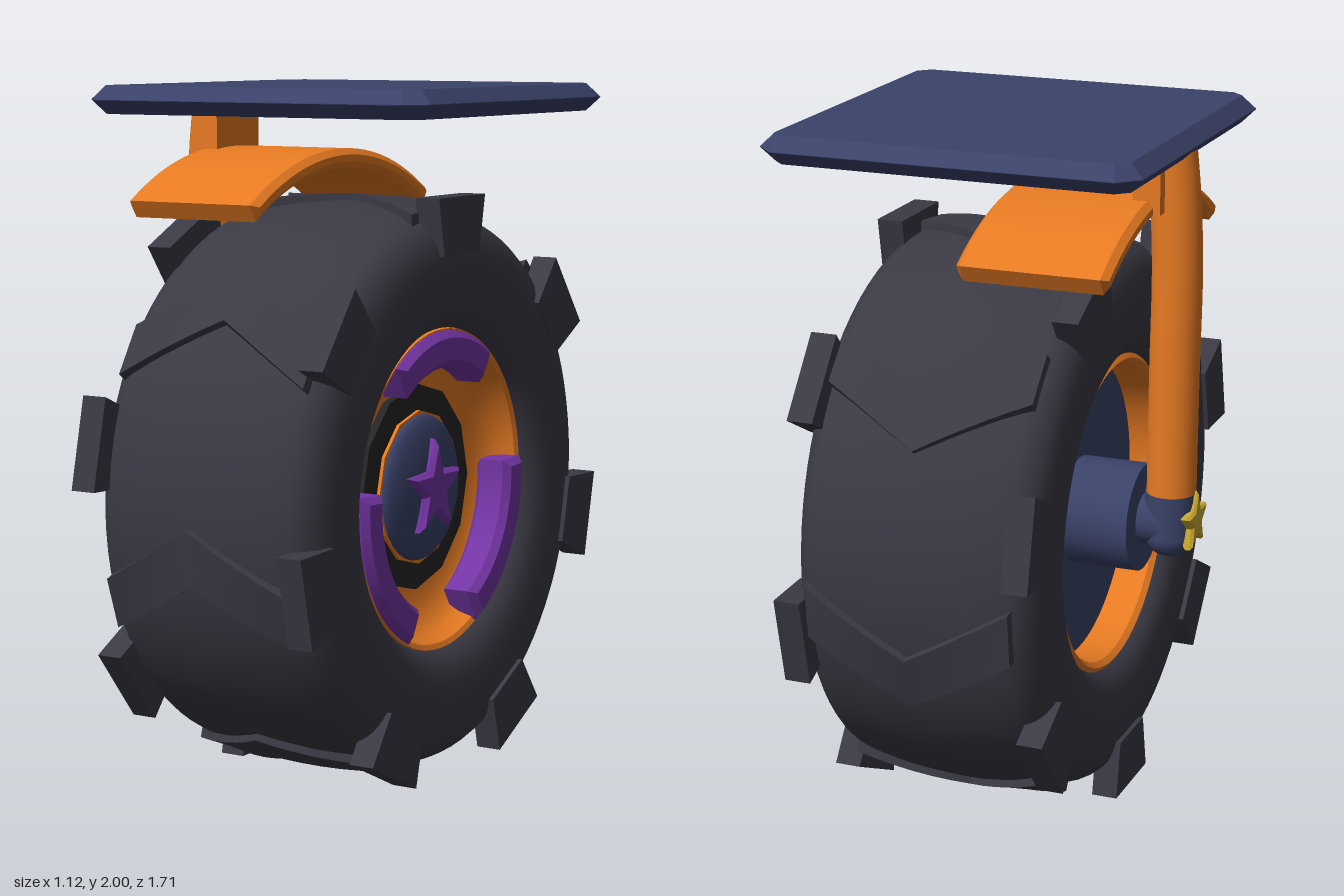
import * as THREE from 'three';
import { toCreasedNormals } from 'three/addons/utils/BufferGeometryUtils.js';

const mat = (name, color, side = THREE.FrontSide) => {
  const m = new THREE.MeshStandardMaterial({ color, side });
  m.name = name;
  return m;
};

export function createModel() {
  const navy = mat('navy', 0x3a4269);
  const rubber = mat('rubber', 0x3a3944);
  const orange = mat('orange', 0xe67a22);
  const purple = mat('purple', 0x7435a4);
  const black = mat('black', 0x252525);
  const yellow = mat('yellow', 0xc9aa30);

  const model = new THREE.Group();
  model.name = 'wheelAssembly';
  // Side-on frame: local z runs along the axle (+x), local x points to the back.
  const CY = 0.845;
  const wheel = new THREE.Group();
  wheel.name = 'wheel';
  wheel.position.y = CY;
  wheel.rotation.y = Math.PI / 2;
  model.add(wheel);

  const add = (parent, name, geo, material, x = 0, y = 0, z = 0) => {
    const mesh = new THREE.Mesh(geo, material);
    mesh.name = name;
    mesh.position.set(x, y, z);
    parent.add(mesh);
    return mesh;
  };
  const lathe = (pts, seg = 72) =>
    toCreasedNormals(new THREE.LatheGeometry(pts.map(p => new THREE.Vector2(p[0], p[1])), seg).rotateX(Math.PI / 2), 0.7);
  const disc = (r, z0, z1, seg) =>
    toCreasedNormals(new THREE.CylinderGeometry(r, r, z1 - z0, seg).rotateX(Math.PI / 2).translate(0, 0, (z0 + z1) / 2), 0.5);
  // Bevelled slab from z0 to z1, bevel included
  const slab = (shape, z0, z1, bevel, curveSegments = 20) => {
    const g = new THREE.ExtrudeGeometry(shape, {
      depth: z1 - z0 - 2 * bevel, bevelEnabled: bevel > 0, bevelSize: bevel,
      bevelThickness: bevel, bevelSegments: 1, curveSegments,
    });
    return toCreasedNormals(g.translate(0, 0, z0 + bevel), 0.5);
  };
  // Ring sector centred on the upward direction
  const sector = (r0, r1, half) => {
    const s = new THREE.Shape();
    s.absarc(0, 0, r1, Math.PI / 2 - half, Math.PI / 2 + half, false);
    s.absarc(0, 0, r0, Math.PI / 2 + half, Math.PI / 2 - half, true);
    s.closePath();
    return s;
  };
  const star = (r, inner) => {
    const pts = [];
    for (let i = 0; i < 10; i++) {
      const a = Math.PI / 2 + i * Math.PI / 5, d = i % 2 ? inner : r;
      pts.push(new THREE.Vector2(d * Math.cos(a), d * Math.sin(a)));
    }
    return new THREE.Shape(pts);
  };

  // Tyre
  const half = [[0.822, 0], [0.818, 0.1], [0.808, 0.2], [0.788, 0.29], [0.75, 0.335],
    [0.69, 0.357], [0.61, 0.362], [0.53, 0.35], [0.485, 0.325], [0.46, 0.29]];
  const profile = [...half.slice(1).reverse().map(([r, z]) => [r, -z]), ...half];
  const curve = new THREE.SplineCurve(profile.map(p => new THREE.Vector2(...p)));
  add(wheel, 'tyre', lathe(curve.getPoints(54).map(p => [p.x, p.y]), 80), rubber);

  // Chevron tread bar, swept across the crown
  const chevronGeo = () => {
    const n = 12, pos = [], idx = [], hw = 0.105;
    for (let i = 0; i <= n; i++) {
      const t = (i / n) * 2 - 1, z = 0.3 * t;
      const mid = -0.105 + 0.21 * Math.abs(t), r = 0.842 - 0.026 * t * t;
      for (const [a, d] of [[mid - hw, r - 0.06], [mid - hw * 0.9, r], [mid + hw * 0.9, r], [mid + hw, r - 0.06]])
        pos.push(-d * Math.sin(a), d * Math.cos(a), z);
    }
    for (let i = 0; i < n; i++) for (let j = 0; j < 4; j++) {
      const a = i * 4 + j, b = i * 4 + (j + 1) % 4;
      idx.push(a, a + 4, b, b, a + 4, b + 4);
    }
    const e = n * 4;
    idx.push(0, 1, 2, 0, 2, 3, e, e + 2, e + 1, e, e + 3, e + 2);
    const g = new THREE.BufferGeometry();
    g.setAttribute('position', new THREE.Float32BufferAttribute(pos, 3));
    // Winding is fixed here so that faces point outward
    for (let i = 0; i < idx.length; i += 3) [idx[i + 1], idx[i + 2]] = [idx[i + 2], idx[i + 1]];
    g.setIndex(idx);
    return toCreasedNormals(g, 0.5);
  };
  const chevron = chevronGeo();
  rubber.side = THREE.DoubleSide;

  // Shoulder lugs, staggered between the two sides
  const lugShape = new THREE.Shape([[-0.1, 0.68], [0.1, 0.68], [0.132, 0.845], [-0.132, 0.845]].map(p => new THREE.Vector2(...p)));
  const lug = slab(lugShape, -0.038, 0.038, 0);
  const step = Math.PI * 2 / 7;
  for (let k = 0; k < 7; k++) {
    add(wheel, 'treadChevron', chevron, rubber).rotation.z = k * step;
    add(wheel, 'leftLug', lug, rubber, 0, 0, 0.334).rotation.z = k * step;
    add(wheel, 'rightLug', lug, rubber, 0, 0, -0.334).rotation.z = (k + 0.5) * step;
  }

  // Rim bowl on the outer side, barrel and back plate on the fork side
  add(wheel, 'rimBowl', lathe([[0.47, 0.29], [0.465, 0.312], [0.45, 0.305], [0.435, 0.265], [0.41, 0.235], [0.36, 0.21], [0.29, 0.2], [0, 0.2]]), orange);
  add(wheel, 'rimBarrel', lathe([[0.44, -0.18], [0.44, -0.3], [0.455, -0.315], [0.475, -0.3]]), orange);
  add(wheel, 'backPlate', disc(0.441, -0.2, -0.17, 48), navy);

  // Hub stack
  add(wheel, 'hubRing', disc(0.302, 0.19, 0.225, 12), black);
  add(wheel, 'hubTrim', disc(0.225, 0.2, 0.235, 12), orange);
  const dome = new THREE.SphereGeometry(0.213, 32, 10, 0, Math.PI * 2, 0, Math.PI / 2);
  add(wheel, 'hubCap', dome.rotateX(Math.PI / 2).scale(1, 1, 0.22), navy, 0, 0, 0.236);
  add(wheel, 'hubStar', slab(star(0.125, 0.05), 0.255, 0.3, 0.015), purple);

  // Three rim grips
  const grip = slab(sector(0.375, 0.44, 0.57), 0.22, 0.335, 0.02);
  for (let k = 0; k < 3; k++) add(wheel, 'rimGrip', grip, purple).rotation.z = k * Math.PI * 2 / 3;

  // Axle
  add(wheel, 'axleHub', disc(0.158, -0.4, -0.19, 24), navy);
  add(wheel, 'axle', disc(0.075, -0.48, -0.39, 20), navy);

  // Fork foot with rounded end, and its star bolt
  const foot = new THREE.Group();
  foot.name = 'forkFoot';
  model.add(foot);
  add(foot, 'footSleeve', new THREE.CylinderGeometry(0.074, 0.074, 0.13, 28), navy, -0.48, 0.87, 0);
  add(foot, 'footEnd', new THREE.SphereGeometry(0.074, 28, 14).scale(1, 0.9, 1), navy, -0.48, 0.806, 0);
  add(wheel, 'boltStar', slab(star(0.08, 0.034), -0.565, -0.535, 0.008), yellow, 0, 0.01, 0);

  // Fork leg and its bracket under the plate
  const leg = new THREE.CatmullRomCurve3([[-0.482, 0.92], [-0.484, 1.3], [-0.487, 1.6], [-0.478, 1.8], [-0.465, 1.93]]
    .map(([x, y]) => new THREE.Vector3(x, y, 0)));
  add(model, 'forkLeg', new THREE.TubeGeometry(leg, 24, 0.072, 28), orange);
  add(model, 'forkBracket', new THREE.BoxGeometry(0.08, 0.16, 0.22), orange, -0.43, 1.85, 0);

  // Mudguard arch
  const guard = new THREE.Group();
  guard.name = 'mudguard';
  guard.position.y = 0.905;
  guard.rotation.y = Math.PI / 2;
  model.add(guard);
  add(guard, 'mudguardArch', slab(sector(0.872, 0.892, 0.54), -0.45, -0.01, 0.018, 28), orange);

  // Top plate with bevelled rim and clipped corners
  const w = 0.515, c = 0.48;
  const plate = new THREE.Shape([[w, -c], [w, c], [c, w], [-c, w], [-w, c], [-w, -c], [-c, -w], [c, -w]].map(p => new THREE.Vector2(...p)));
  add(model, 'topPlate', slab(plate, 1.92, 2, 0.039).rotateX(-Math.PI / 2), navy);

  return model;
}
